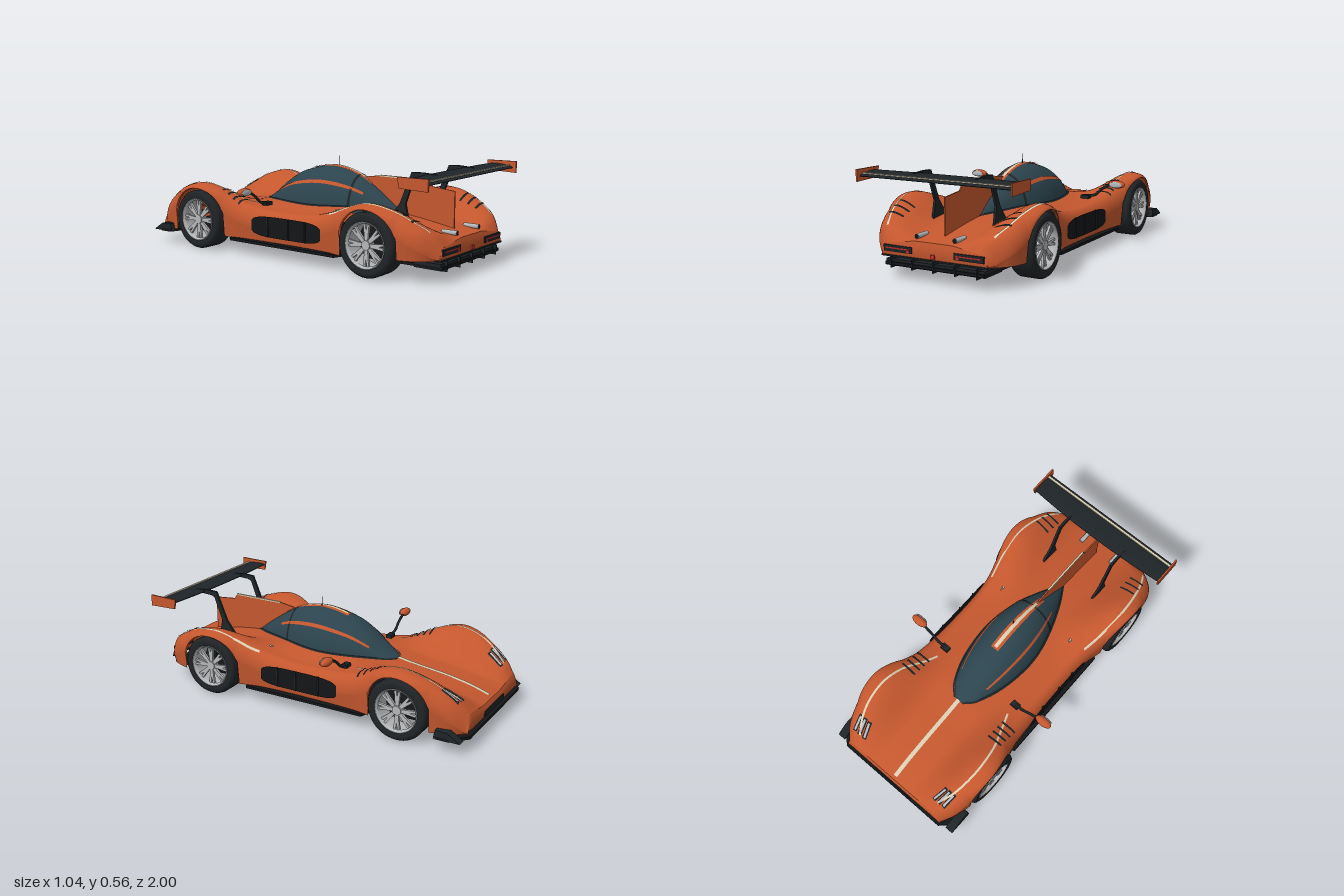
import * as THREE from 'three';

const mat = (color) => new THREE.MeshStandardMaterial({ color, side: THREE.DoubleSide });
const paint = mat(0xc4572e), dark = mat(0x1e2427), glass = mat(0x2c444e), cream = mat(0xd9ceb2);
const rubber = mat(0x202427), metal = mat(0xb4b6b8), red = mat(0xc8302c), black = mat(0x131517);

// Smooth 1D curve through [z, value] points
function profile(pts) {
  const slope = (i) => {
    const a = pts[Math.max(i - 1, 0)], b = pts[Math.min(i + 1, pts.length - 1)];
    return (b[1] - a[1]) / (b[0] - a[0]);
  };
  return (z) => {
    let i = 0;
    while (i < pts.length - 2 && z > pts[i + 1][0]) i++;
    const h = pts[i + 1][0] - pts[i][0];
    const t = THREE.MathUtils.clamp((z - pts[i][0]) / h, 0, 1), t2 = t * t, t3 = t2 * t;
    return (2 * t3 - 3 * t2 + 1) * pts[i][1] + (t3 - 2 * t2 + t) * h * slope(i)
      + (3 * t2 - 2 * t3) * pts[i + 1][1] + (t3 - t2) * h * slope(i + 1);
  };
}

// Surface from a function of (u, v), each running 0..1
function grid(fn, nu, nv) {
  const pos = [], idx = [];
  for (let i = 0; i <= nu; i++) for (let j = 0; j <= nv; j++) pos.push(...fn(i / nu, j / nv));
  for (let i = 0; i < nu; i++) for (let j = 0; j < nv; j++) {
    const a = i * (nv + 1) + j, b = a + nv + 1;
    idx.push(a, a + 1, b, b, a + 1, b + 1);
  }
  const g = new THREE.BufferGeometry();
  g.setAttribute('position', new THREE.Float32BufferAttribute(pos, 3));
  g.setIndex(idx);
  g.computeVertexNormals();
  return g;
}

// Body lines: half width, fender crest height, centre deck height
const width = profile([[-0.975, 0.36], [-0.9, 0.41], [-0.78, 0.443], [-0.61, 0.455], [-0.45, 0.425], [-0.33, 0.4],
  [0, 0.387], [0.3, 0.395], [0.45, 0.43], [0.61, 0.455], [0.78, 0.443], [0.9, 0.405], [0.985, 0.32]]);
const crest = profile([[-0.975, 0.19], [-0.93, 0.24], [-0.85, 0.3], [-0.75, 0.357], [-0.61, 0.39], [-0.48, 0.362], [-0.34, 0.298],
  [-0.2, 0.27], [0, 0.262], [0.2, 0.276], [0.34, 0.312], [0.45, 0.352], [0.6, 0.387], [0.75, 0.358], [0.87, 0.3], [0.95, 0.245], [0.985, 0.19]]);
const deck = profile([[-0.975, 0.165], [-0.85, 0.205], [-0.7, 0.235], [-0.5, 0.262], [-0.35, 0.285], [0, 0.298],
  [0.3, 0.298], [0.5, 0.283], [0.7, 0.26], [0.985, 0.212]]);

const WHEEL_Z = 0.61, WHEEL_Y = 0.174, ARCH = 0.185;
const sill = (z) => (z > 0.79 ? 0.12 : 0.09);
function lowerEdge(z, inArch) {
  const d = Math.abs(z) - WHEEL_Z;
  return inArch ? WHEEL_Y + Math.sqrt(Math.max(ARCH * ARCH - d * d, 0)) : sill(z);
}
const drop = (z, low) => Math.min(0.1, (crest(z) - low) * 0.9);

// Height of the upper body at (x, z)
function bodyTop(x, z, low = 0.09) {
  const u = Math.min(Math.abs(x) / width(z), 1), f = crest(z), c = deck(z);
  if (u <= 0.84) return c + (f - c) * THREE.MathUtils.smoothstep(u, 0.28, 0.84);
  const q = (u - 0.84) / 0.16;
  return f - drop(z, low) * (1 - Math.sqrt(Math.max(1 - q * q, 0)));
}

// One point of the cross-section, s from -1 to 1
function section(s, z, inArch) {
  const a = Math.abs(s), sg = Math.sign(s), w = width(z), low = lowerEdge(z, inArch);
  if (a <= 0.6) { const x = 0.84 * w * a / 0.6; return [sg * x, bodyTop(x, z, low), z]; }
  const q = Math.min((a - 0.6) / 0.2, 1) * Math.PI / 2, t = Math.max((a - 0.8) / 0.2, 0);
  const yShoulder = crest(z) - drop(z, low) * (1 - Math.cos(q));
  return [sg * (w * (0.84 + 0.16 * Math.sin(q)) - 0.012 * t), THREE.MathUtils.lerp(yShoulder, low, t), z];
}

// Canopy lines
const canopyW = profile([[-0.4, 0.03], [-0.35, 0.08], [-0.2, 0.143], [0, 0.173], [0.15, 0.163], [0.3, 0.122], [0.45, 0.06], [0.55, 0.003]]);
const canopyH = profile([[-0.4, 0.285], [-0.32, 0.335], [-0.22, 0.413], [-0.12, 0.468], [0.07, 0.507], [0.25, 0.475], [0.4, 0.39], [0.55, 0.28]]);
function canopyPoint(a, z, lift = 0) {
  return [(canopyW(z) + lift) * Math.cos(a), 0.265 + (canopyH(z) - 0.265 + lift) * Math.sin(a), z];
}

// Thin band lying on the body along [x, z] points
function band(points, half, lift = 0.004) {
  const curve = new THREE.CatmullRomCurve3(points.map(([x, z]) => new THREE.Vector3(x, 0, z)));
  return grid((u, v) => {
    const p = curve.getPoint(u), t = curve.getTangent(u), o = (v - 0.5) * 2 * half;
    const x = p.x - t.z * o, z = p.z + t.x * o;
    return [x, bodyTop(x, z) + lift, z];
  }, 32, 2);
}

// Upright plate from a [z, y] outline
function plate(points, x, thick) {
  const shape = new THREE.Shape(points.map(([z, y]) => new THREE.Vector2(z, y)));
  return new THREE.ExtrudeGeometry(shape, { depth: thick, bevelEnabled: false }).rotateY(-Math.PI / 2).translate(x + thick / 2, 0, 0);
}
const box = (w, h, d, x, y, z) => new THREE.BoxGeometry(w, h, d).translate(x, y, z);

function makeWheel() {
  const wheel = new THREE.Group();
  const lathe = (pts, m, name) => {
    const mesh = new THREE.Mesh(new THREE.LatheGeometry(pts.map((p) => new THREE.Vector2(...p)), 48).rotateZ(-Math.PI / 2), m);
    mesh.name = name;
    wheel.add(mesh);
  };
  lathe([[0.125, -0.068], [0.15, -0.072], [0.165, -0.066], [0.173, -0.052], [0.174, 0.052], [0.165, 0.066], [0.15, 0.072], [0.125, 0.068]], rubber, 'tyre');
  lathe([[0.126, -0.066], [0.115, -0.05], [0.115, 0.05], [0.126, 0.068], [0.119, 0.07], [0.112, 0.05]], metal, 'rim');
  const hub = new THREE.Mesh(new THREE.CylinderGeometry(0.026, 0.03, 0.04, 20).rotateZ(-Math.PI / 2).translate(0.04, 0, 0), metal);
  hub.name = 'hub';
  wheel.add(hub);
  const blade = new THREE.Shape([[-0.009, 0.015], [0.009, 0.015], [0.019, 0.117], [0.007, 0.117], [0, 0.075], [-0.007, 0.117], [-0.019, 0.117]].map((p) => new THREE.Vector2(...p)));
  const spokeGeo = new THREE.ExtrudeGeometry(blade, { depth: 0.014, bevelEnabled: false }).rotateY(Math.PI / 2).translate(0.04, 0, 0);
  for (let i = 0; i < 8; i++) {
    const spoke = new THREE.Mesh(spokeGeo, metal);
    spoke.name = 'spoke';
    spoke.rotation.x = i * Math.PI / 4;
    wheel.add(spoke);
  }
  return wheel;
}

export function createModel() {
  const car = new THREE.Group();
  car.name = 'raceCar';
  const add = (name, geo, m) => { const o = new THREE.Mesh(geo, m); o.name = name; car.add(o); return o; };

  // Body shell in lengthwise pieces, with open wheel arches
  const cuts = [-0.975, -WHEEL_Z - ARCH, -WHEEL_Z + ARCH, WHEEL_Z - ARCH, WHEEL_Z + ARCH, 0.985];
  const stations = [];
  for (let k = 0; k < 5; k++) {
    const arch = k % 2 === 1, n = k === 2 ? 40 : arch ? 28 : 14;
    for (let i = 0; i <= n; i++) {
      const t = arch ? (1 - Math.cos(Math.PI * i / n)) / 2 : i / n;
      stations.push([THREE.MathUtils.lerp(cuts[k], cuts[k + 1], t), arch]);
    }
  }
  const last = stations.length - 1;
  add('bodyShell', grid((u, v) => section(v * 2 - 1, ...stations[Math.round(u * last)]), last, 80), paint);
  for (const [name, z, bulge] of [['nosePanel', -0.975, -0.012], ['tailPanel', 0.985, 0.006]]) {
    add(name, grid((u, v) => {
      const [x, y] = section((u * 2 - 1) * 0.8, z, false);
      return [x, THREE.MathUtils.lerp(y, sill(z), v), z + bulge * Math.sin(Math.PI * v)];
    }, 60, 8), paint);
  }
  add('noseGrille', box(0.27, 0.03, 0.012, 0, 0.122, -0.986), dark);

  // Floor with splitter, narrowed at the wheels
  const half = [[0.36, -1], [0.45, -0.92], [0.45, -0.84], [0.3, -0.8], [0.3, -0.42], [0.41, -0.38], [0.41, 0.38], [0.3, 0.42], [0.3, 0.99]];
  const outline = [...half, ...half.map(([x, z]) => [-x, z]).reverse()].map((p) => new THREE.Vector2(...p));
  add('floor', new THREE.ExtrudeGeometry(new THREE.Shape(outline), { depth: 0.016, bevelEnabled: false }).rotateX(Math.PI / 2).translate(0, 0.088, 0), black);
  add('diffuser', box(0.6, 0.035, 0.16, 0, 0.084, 0.9), dark);
  add('diffuserLip', box(0.64, 0.008, 0.02, 0, 0.121, 0.985), dark);
  for (let i = -2; i <= 2; i++) add('diffuserFin', box(0.006, 0.06, 0.19, i * 0.13, 0.088, 0.9), dark);

  // Canopy with dark seal, hoop and painted strips
  const zAt = (t, a = -0.4, b = 0.55) => a + (b - a) * t;
  add('canopy', grid((u, v) => canopyPoint(v * Math.PI, zAt(u)), 60, 36), glass);
  add('canopyFront', grid((u, v) => { const p = canopyPoint(u * Math.PI, -0.4); return [p[0], THREE.MathUtils.lerp(p[1], 0.265, v), -0.4]; }, 16, 1), glass);
  add('canopySeal', grid((u, v) => {
    const a = u * Math.PI * 2, z = 0.075 - 0.478 * Math.cos(a), sg = Math.sin(a) < 0 ? -1 : 1;
    const x = sg * (canopyW(THREE.MathUtils.clamp(z, -0.4, 0.55)) + 0.012 * v - 0.004);
    return [x, bodyTop(x, z) + 0.006 * (1 - v), z];
  }, 120, 2), dark);
  add('roofStrip', grid((u, v) => { const z = zAt(u, -0.08, 0.35); return canopyPoint(Math.PI / 2 + (v - 0.5) * 0.3, z, 0.004); }, 24, 4), paint);
  add('roofStripe', grid((u, v) => { const z = zAt(u, -0.07, 0.32); return canopyPoint(Math.PI / 2 + (v - 0.5) * 0.12, z, 0.007); }, 24, 2), cream);
  add('canopyHoop', grid((u, v) => canopyPoint(u * Math.PI, 0.264 + v * 0.014, 0.004), 36, 1), dark);
  add('antenna', new THREE.CylinderGeometry(0.0015, 0.003, 0.07, 6).translate(0.012, 0.53, 0.1), dark);

  // Spine fin and nose stripe
  add('spineFin', plate([[0.88, 0.22], [0.88, 0.43], [0.74, 0.443], [0.72, 0.47], [0.4, 0.475], [0.3, 0.46], [0.3, 0.27]], 0, 0.008), paint);
  add('finStripe', box(0.011, 0.008, 0.32, 0, 0.474, 0.56), cream);
  add('noseStripe', band([[0, -0.955], [0, -0.7], [0, -0.4]], 0.012), cream);

  // Rear wing, bowed slightly forward at the middle
  add('wing', grid((u, v) => {
    const x = (u - 0.5) * 0.92, a = v * Math.PI * 2, k = (1 - Math.cos(a)) / 2;
    return [x, 0.524 + 0.011 * Math.sin(a) - 0.006 * Math.cos(a), 0.905 + 0.075 * Math.cos(a) - 0.02 * k * (1 - (x / 0.46) ** 2)];
  }, 24, 24), dark);
  add('wingStripe', box(0.92, 0.006, 0.014, 0, 0.531, 0.955), cream);

  // Rear lights
  add('centreLight', box(0.022, 0.022, 0.01, 0, 0.143, 0.993), red);

  for (const s of [-1, 1]) {
    const m = (pts) => pts.map(([x, z]) => [s * x, z]);

    // Wing supports and end plates
    add('wingEndPlate', plate([[0.83, 0.495], [1, 0.49], [1, 0.555], [0.82, 0.552]], s * 0.463, 0.01), paint);
    add('wingStrut', plate([[0.58, 0.27], [0.72, 0.25], [0.695, 0.37], [0.745, 0.505], [0.77, 0.515], [0.89, 0.52], [0.88, 0.537], [0.8, 0.543], [0.73, 0.54], [0.66, 0.37]], s * 0.19, 0.014), dark);

    // Wheels
    for (const z of [-WHEEL_Z, WHEEL_Z]) {
      const wheel = makeWheel();
      wheel.name = z < 0 ? 'frontWheel' : 'rearWheel';
      wheel.position.set(s * 0.378, WHEEL_Y, z);
      if (s < 0) wheel.rotation.y = Math.PI;
      car.add(wheel);
    }

    // Fender stripes, louvres and headlights
    add('frontFenderStripe', band(m([[0.3, -0.92], [0.35, -0.82], [0.374, -0.66], [0.355, -0.5], [0.31, -0.38], [0.27, -0.28]]), 0.006), cream);
    add('rearFenderStripe', band(m([[0.36, 0.31], [0.385, 0.43], [0.4, 0.6], [0.385, 0.75], [0.36, 0.85], [0.325, 0.93]]), 0.006), cream);
    for (const z of [-0.46, -0.42, -0.38, -0.34, 0.75, 0.8, 0.85]) add('louvre', band(m([[0.28, z], [0.33, z], [0.375, z]]), 0.006, 0.006), dark);
    for (let i = 0; i < 3; i++) {
      add('headlightHousing', band(m([[0.27 + i * 0.035, -0.92], [0.295 + i * 0.03, -0.83]]), 0.013, 0.003), dark);
      add('headlight', band(m([[0.27 + i * 0.035, -0.915], [0.293 + i * 0.03, -0.84]]), 0.006, 0.008), metal);
    }

    // Splitter fences and side intakes
    add('splitterFence', plate([[-0.98, 0.075], [-0.83, 0.075], [-0.84, 0.125], [-0.91, 0.12], [-0.95, 0.095]], s * 0.425, 0.05), dark);
    add('sideIntake', grid((u, v) => {
      const z = zAt(u, -0.22, 0.28), e = Math.pow(Math.max(1 - (2 * u - 1) ** 4, 0), 0.6);
      return [s * (width(z) + 0.003), 0.18 + (v - 0.5) * (0.06 + 0.06 * e), z];
    }, 30, 2), black);
    for (const z of [-0.1, 0.05, 0.17]) add('intakeVane', box(0.012, 0.115, 0.008, s * (width(z) + 0.003), 0.18, z), dark);

    // Canopy side strip
    add('canopySideStrip', grid((u, v) => {
      const p = canopyPoint(0.72 + (v - 0.5) * 0.1, zAt(u, -0.26, 0.34), 0.004);
      return [s * p[0], p[1], p[2]];
    }, 30, 2), paint);

    // Mirror on a curved stalk
    const stalk = new THREE.CatmullRomCurve3([[0.27, 0.295], [0.33, 0.305], [0.37, 0.34], [0.43, 0.378]].map(([x, y]) => new THREE.Vector3(s * x, y, -0.21)));
    add('mirrorStalk', new THREE.TubeGeometry(stalk, 16, 0.008, 8), dark);
    add('mirrorBase', box(0.05, 0.02, 0.035, s * 0.27, 0.29, -0.21), dark);
    add('mirrorShell', new THREE.SphereGeometry(1, 24, 14).scale(0.052, 0.023, 0.026).translate(s * 0.47, 0.378, -0.205), paint);
    add('mirrorGlass', new THREE.SphereGeometry(1, 24, 12).scale(0.04, 0.018, 0.006).translate(s * 0.472, 0.378, -0.182), metal);

    // Exhausts and tail lights
    add('exhaust', new THREE.CylinderGeometry(0.013, 0.013, 0.09, 16).rotateX(Math.PI / 2).translate(s * 0.115, 0.232, 0.92), metal);
    add('exhaustBore', new THREE.CircleGeometry(0.0115, 16).translate(s * 0.115, 0.232, 0.966), black);
    add('tailLightHousing', box(0.175, 0.034, 0.012, s * 0.215, 0.161, 0.99), dark);
    add('tailLightBar', box(0.15, 0.006, 0.006, s * 0.215, 0.164, 0.996), red);
    add('tailLight', box(0.016, 0.014, 0.006, s * 0.15, 0.152, 0.996), red);
    add('deckVent', new THREE.ConeGeometry(0.008, 0.03, 8).rotateX(-Math.PI / 2).translate(s * 0.26, bodyTop(0.26, 0.29) + 0.003, 0.29), metal);
  }
  return car;
}
